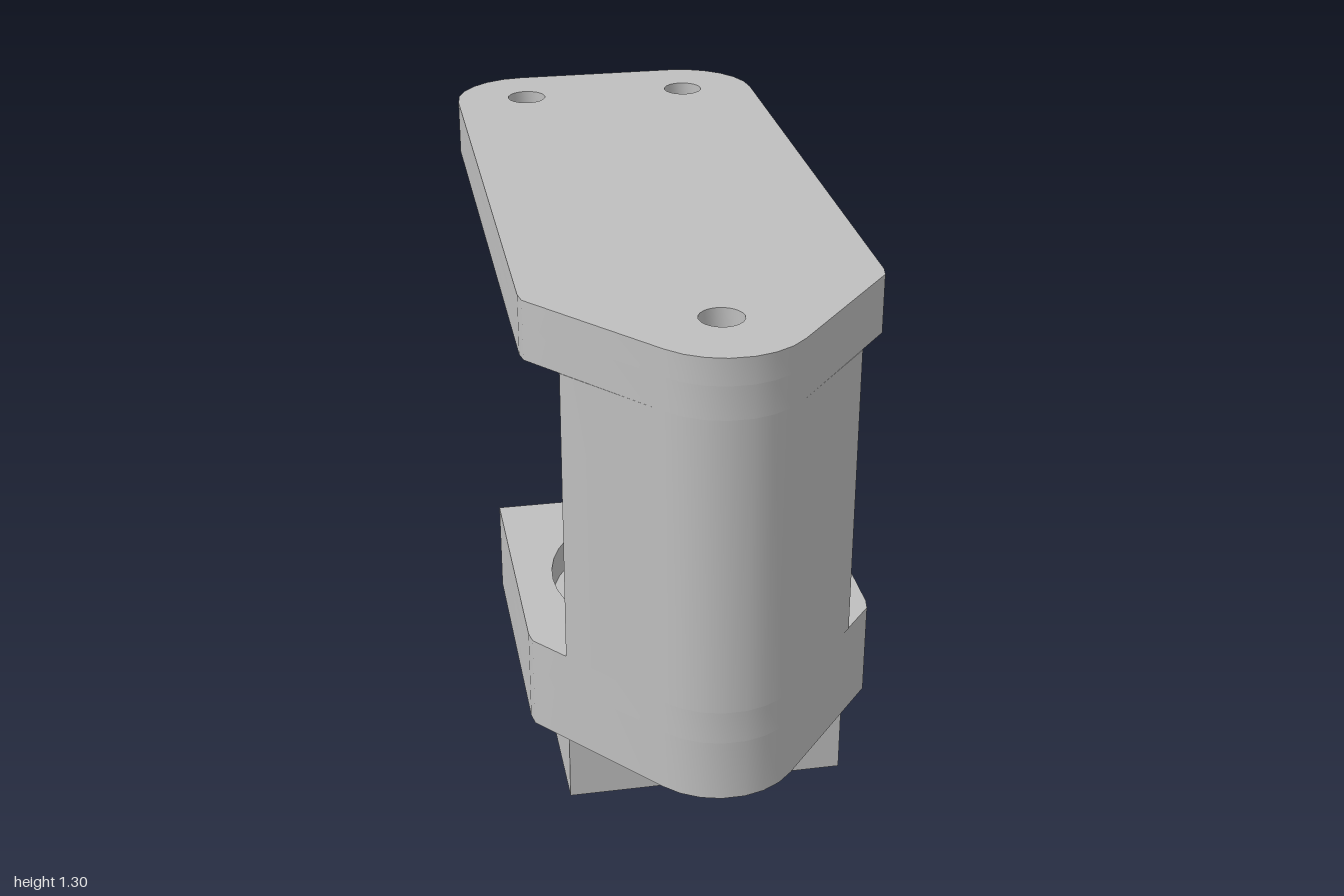
import * as THREE from 'three';
import { toCreasedNormals } from 'three/addons/utils/BufferGeometryUtils.js';

const V = (x, z) => new THREE.Vector2(x, z);

// Points on an arc in the ground plane (x, z)
function arc(cx, cz, r, from, to, n) {
  return Array.from({ length: n + 1 }, (_, i) => {
    const a = THREE.MathUtils.degToRad(from + ((to - from) * i) / n);
    return V(cx + r * Math.cos(a), cz + r * Math.sin(a));
  });
}
const ring = (x, z, r, n) => arc(x, z, r, 0, 360, n).slice(0, n);

// Right half of an outline plus its mirror image
const mirrored = (half) => [...half, ...half.slice().reverse().map((p) => V(-p.x, p.y))];

export function createModel() {
  const group = new THREE.Group();
  const grey = new THREE.MeshStandardMaterial({ color: 0xbfbfbf });
  grey.name = 'grey plastic';

  // Flat slab between two heights, with holes cut straight through
  function slab(name, outline, bottom, top, holes = []) {
    const shape = new THREE.Shape(outline);
    holes.forEach((h) => shape.holes.push(new THREE.Path(h)));
    const geo = new THREE.ExtrudeGeometry(shape, { depth: top - bottom, bevelEnabled: false });
    geo.rotateX(Math.PI / 2).translate(0, top, 0);
    const mesh = new THREE.Mesh(toCreasedNormals(geo, 0.6), grey);
    mesh.name = name;
    group.add(mesh);
  }

  // Rounded point shared by the plate, arm and base
  const tip = arc(0, 0.8, 0.2, 40, 82, 3);
  const shoulder = [V(0.42, 0.59), V(0.414, 0.622)];

  // Top plate: round screw holes above, hexagonal nut pockets below
  const plate = mirrored([...arc(0.22, -0.8, 0.2, -90, 0, 6), ...shoulder, ...tip]);
  const screws = [[-0.225, -0.815], [0.225, -0.815]];
  slab('topPlateUpper', plate, 1.24, 1.305,
    [...screws, [0, 0.79]].map(([x, z]) => ring(x, z, 0.052, 20)));
  const nutSlot = [...arc(0, 0.79, 0.094, 0, 180, 3), ...arc(0, 0.59, 0.094, 180, 360, 3)];
  slab('topPlateLower', plate, 1.16, 1.24,
    [...screws.map(([x, z]) => ring(x, z, 0.094, 6)), nutSlot]);

  // Upright arm joining plate and base
  slab('uprightArm', mirrored([V(0.345, 0.705), ...tip]), 0.418, 1.16);

  // Base with a round recess above a hexagonal opening
  const base = mirrored([V(0.42, -0.04), ...shoulder, ...tip]);
  const hexHole = ring(0, 0.35, 0.25, 6);
  slab('baseRecess', base, 0.335, 0.418, [ring(0, 0.35, 0.328, 40)]);
  slab('baseFloor', base, 0.18, 0.335, [hexHole]);

  // Square foot under the base
  slab('squareFoot', mirrored([V(0.34, 0.01), V(0.34, 0.69)]), 0, 0.18, [hexHole]);

  return group;
}
